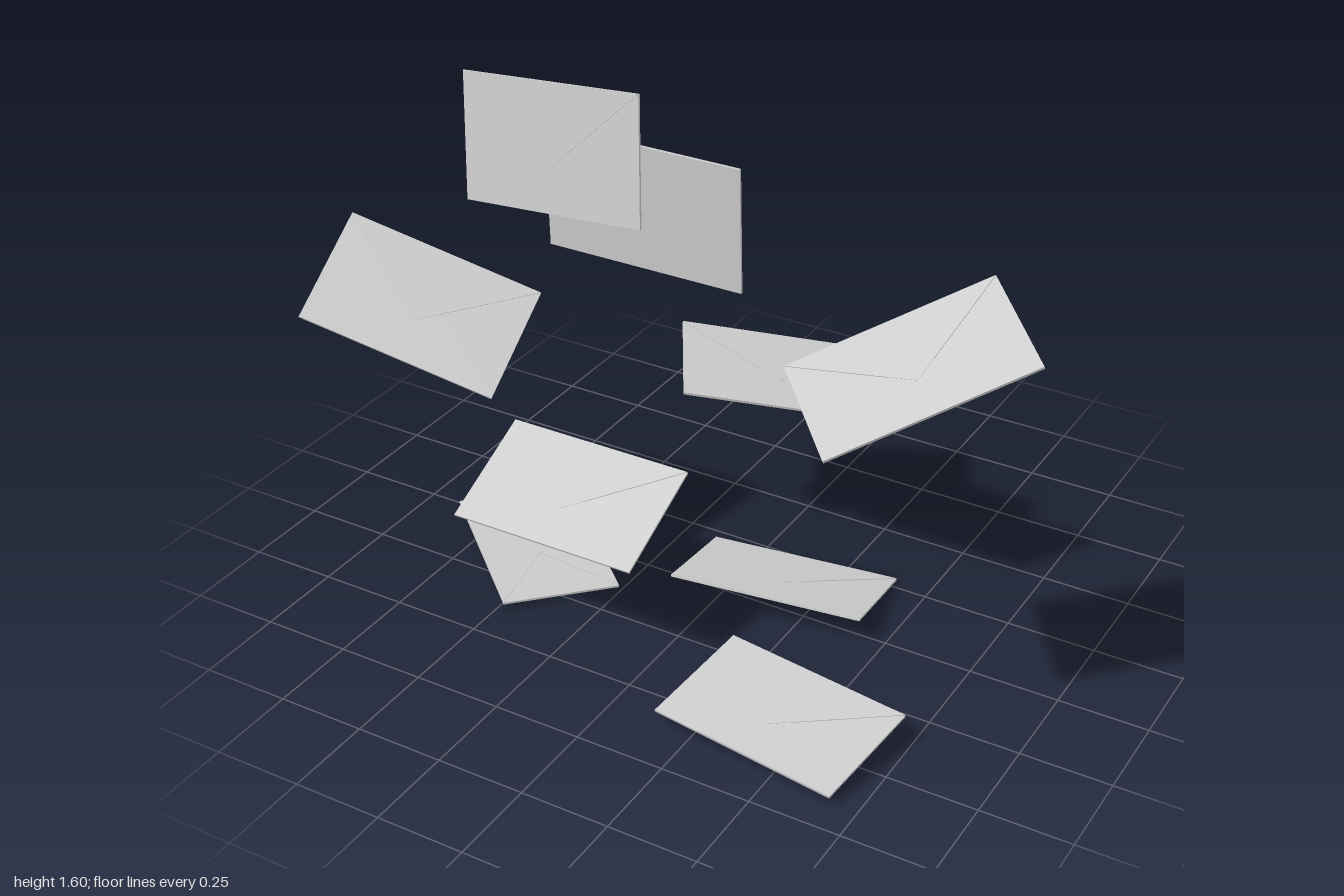
import * as THREE from 'three';

const W = 0.55, H = 0.33;
const material = new THREE.MeshStandardMaterial({ color: 0xcccccc, flatShading: true });

// Thin triangular sheet: a base edge from corner to corner, folded in to an apex
function foldGeometry(baseY, apexY, top) {
  const shape = new THREE.Shape([
    new THREE.Vector2(-W / 2, baseY),
    new THREE.Vector2(W / 2, baseY),
    new THREE.Vector2(0, apexY),
  ]);
  const depth = top - 0.0015;
  return new THREE.ExtrudeGeometry(shape, { depth, bevelEnabled: false }).translate(0, 0, 0.0015);
}

const bodyGeometry = new THREE.BoxGeometry(W, H, 0.006).translate(0, 0, -0.001);
const pocketGeometry = foldGeometry(-H / 2, -H / 2 + 0.61 * H, 0.003);
const flapGeometry = foldGeometry(H / 2, H / 2 - 0.65 * H, 0.004);

// One closed envelope; u runs along the long side, v points to the flap's fold
function createEnvelope({ name, at, u, v }) {
  const envelope = new THREE.Group();
  envelope.name = name;
  const parts = { body: bodyGeometry, pocket: pocketGeometry, flap: flapGeometry };
  for (const [part, geometry] of Object.entries(parts)) {
    const mesh = new THREE.Mesh(geometry, material);
    mesh.name = part;
    envelope.add(mesh);
  }
  const x = new THREE.Vector3(...u).normalize();
  const z = new THREE.Vector3().crossVectors(x, new THREE.Vector3(...v)).normalize();
  const y = new THREE.Vector3().crossVectors(z, x);
  envelope.quaternion.setFromRotationMatrix(new THREE.Matrix4().makeBasis(x, y, z));
  envelope.position.set(...at);
  return envelope;
}

// Centre, long direction and flap direction of each falling envelope
const envelopes = [
  { name: 'topFrontEnvelope', at: [-0.294, 1.412, 0.341], u: [0.545, 0.064, 0.049], v: [-0.037, 0.326, -0.057] },
  { name: 'topBackEnvelope', at: [-0.048, 1.3, 0.316], u: [0.55, 0, 0], v: [0, 0.33, 0.009] },
  { name: 'upperLeftEnvelope', at: [0.686, 1.063, 0.319], u: [0.394, 0.2, -0.324], v: [-0.23, 0.076, -0.228] },
  { name: 'upperRightEnvelope', at: [-0.745, 0.853, 0.318], u: [0.49, -0.187, -0.16], v: [-0.02, 0.187, -0.273] },
  { name: 'middleFrontEnvelope', at: [-0.288, 0.406, 0.32], u: [0.55, 0, 0], v: [0, 0.143, -0.3] },
  { name: 'middleBackEnvelope', at: [-0.048, 0.502, -0.392], u: [0.454, -0.105, -0.293], v: [-0.17, 0.049, -0.278] },
  { name: 'lowerRightEnvelope', at: [-0.575, 0.018, 0.08], u: [0.41, 0.002, 0.364], v: [0.22, -0.014, -0.251] },
  { name: 'lowerBackEnvelope', at: [0.145, 0.046, -0.085], u: [0.535, -0.002, -0.072], v: [-0.046, -0.074, -0.318] },
  { name: 'lowerLeftEnvelope', at: [0.431, 0.059, 0.471], u: [0.541, -0.001, 0.078], v: [0.046, 0.047, -0.324] },
];

export function createModel() {
  const model = new THREE.Group();
  model.name = 'fallingEnvelopes';
  for (const envelope of envelopes) model.add(createEnvelope(envelope));
  return model;
}
